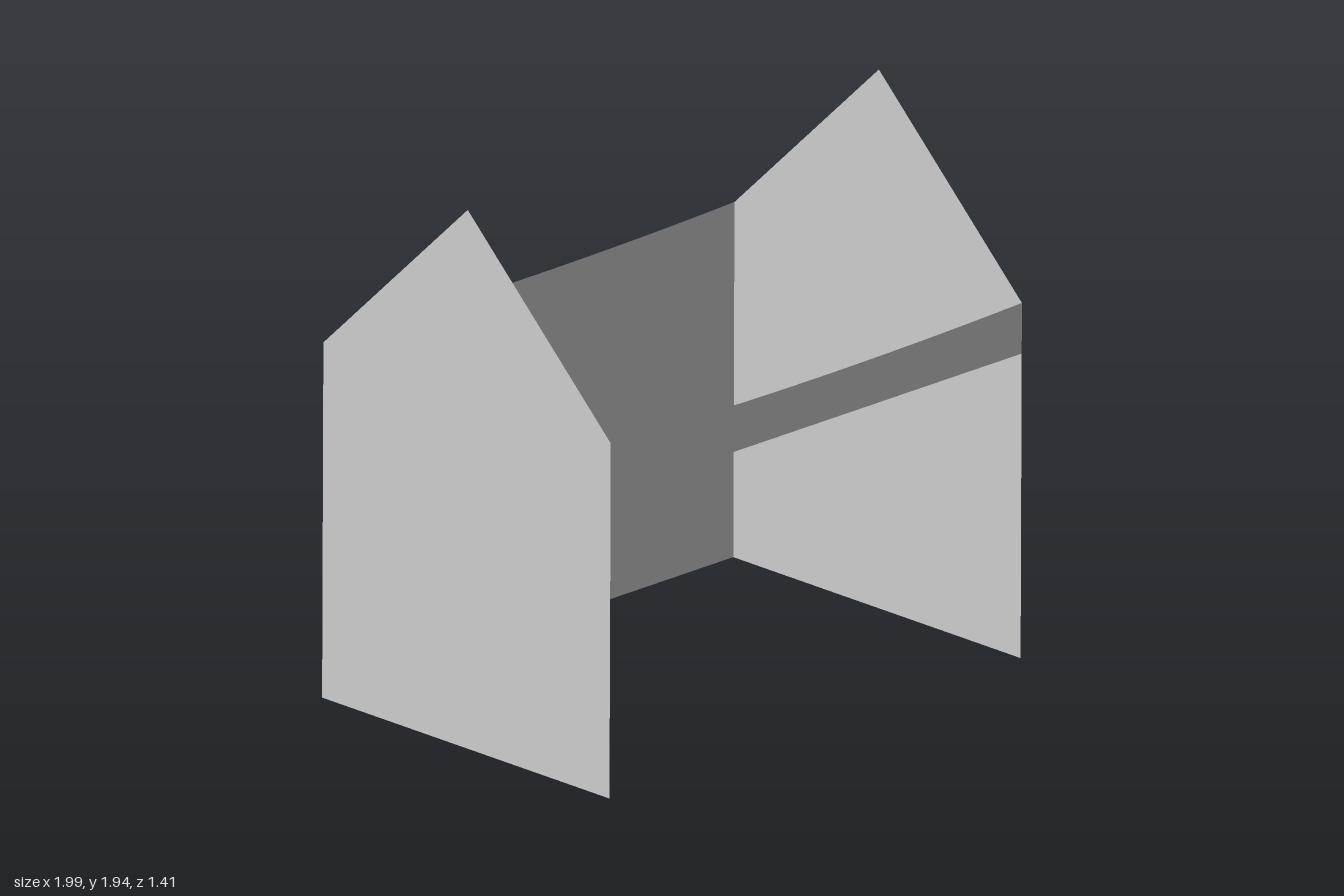
import * as THREE from 'three';

const HALF_W = 0.984, HALF_D = 0.6975;
const EAVES = 1.283, RIDGE = 1.944, SAG = 0.018, STRIP_BOTTOM = 1.1;

// The whole shell leans very slightly to +x and -z as it rises.
const lean = new THREE.Matrix4().set(
  1, 0.0137, 0, -0.016,
  0, 1, 0, 0,
  0, -0.009, 1, 0.007,
  0, 0, 0, 1
);

export function createModel() {
  const group = new THREE.Group();
  const grey = new THREE.MeshStandardMaterial({ color: 0xcccccc, side: THREE.DoubleSide });
  grey.name = 'light grey';

  function addSheet(name, shape, turn, x, z) {
    const geometry = new THREE.ShapeGeometry(shape, 16);
    geometry.rotateY(turn).translate(x, 0, z).applyMatrix4(lean);
    geometry.computeVertexNormals();
    const mesh = new THREE.Mesh(geometry, grey);
    mesh.name = name;
    group.add(mesh);
  }

  // Gabled end walls
  const gable = new THREE.Shape([
    [-HALF_D, 0], [HALF_D, 0], [HALF_D, EAVES], [0, RIDGE], [-HALF_D, EAVES],
  ].map(([u, v]) => new THREE.Vector2(u, v)));
  addSheet('leftGableWall', gable, Math.PI / 2, HALF_W, 0);
  addSheet('rightGableWall', gable, -Math.PI / 2, -HALF_W, 0);

  // Long panel whose top edge sags gently in the middle
  function saggingPanel(bottom) {
    const shape = new THREE.Shape();
    shape.moveTo(-HALF_W, bottom);
    shape.lineTo(HALF_W, bottom);
    shape.lineTo(HALF_W, EAVES);
    shape.quadraticCurveTo(0, EAVES - 2 * SAG, -HALF_W, EAVES);
    shape.closePath();
    return shape;
  }

  // Full back wall, and the narrow strip above the open front
  addSheet('backWall', saggingPanel(0), Math.PI, 0, -HALF_D);
  addSheet('frontEavesStrip', saggingPanel(STRIP_BOTTOM), 0, 0, HALF_D);

  return group;
}
